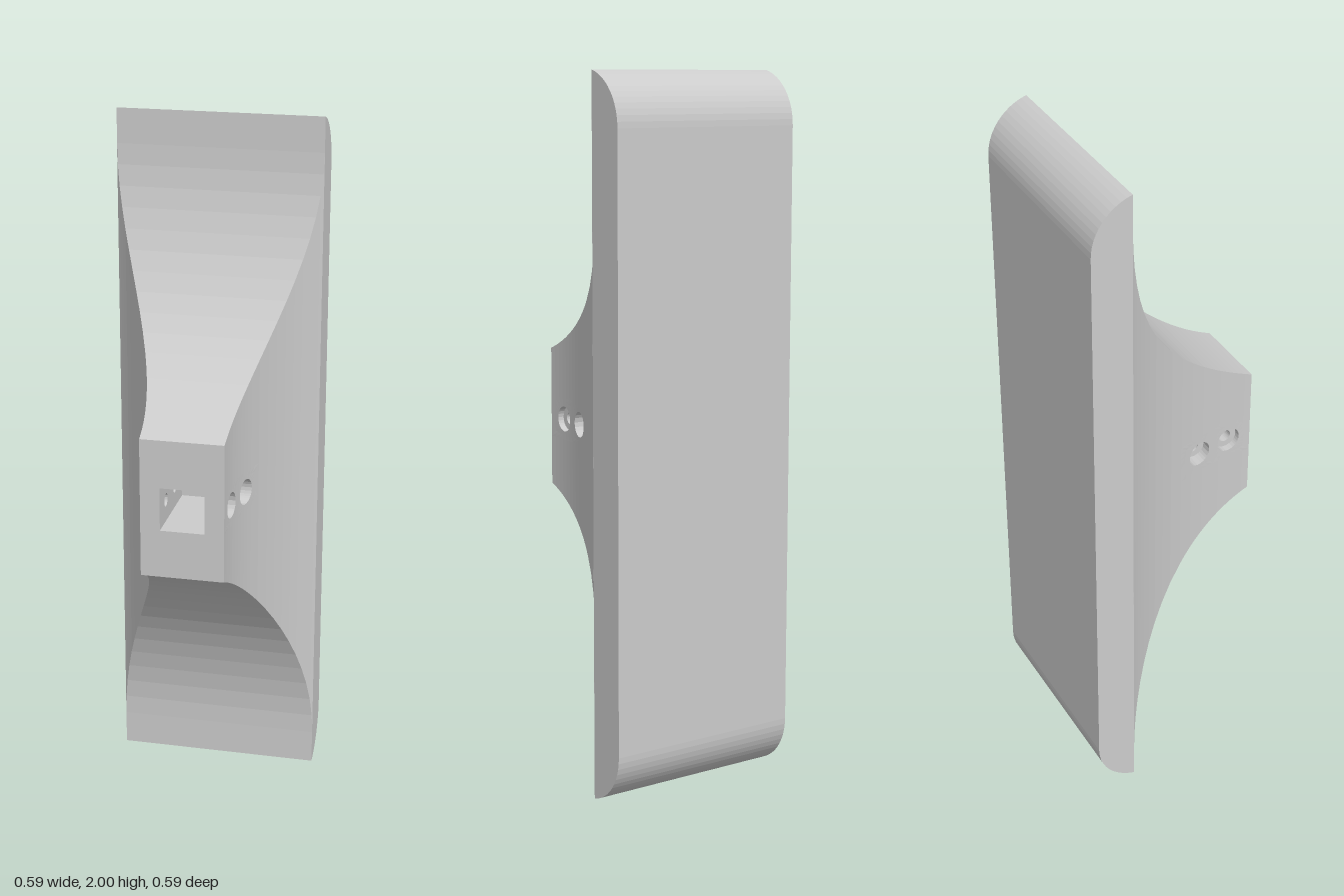
import * as THREE from 'three';

const material = new THREE.MeshStandardMaterial({ color: 0xcccccc, flatShading: true, side: THREE.DoubleSide });
const HALF = 0.295;                 // half width of the plate, and front of the neck
const JOINT = -0.178;               // plane where neck meets plate
const SOCKET = 0.0625, SOCKET_END = 0.03;
const HOLES = [0.117, 0.222];       // z of the bolt holes
const CELLS = [0.0445, 0.1695, HALF]; // z limits of the patch around each hole
const CELL_H = 0.06, BORE = 0.037, BOLT = 0.019, SEAT = 0.1, N = 6;

// Neck outline: half width and half height along z, both circular arcs
const R = 0.753, CZ = JOINT + R;
const halfWidth = z => 0.118 + 0.72 - Math.sqrt(0.72 ** 2 - (HALF - z) ** 2);
const halfHeight = z => 0.9 - Math.sqrt(Math.max(0, R * R - (CZ - z) ** 2));

const onSide = (z, y) => new THREE.Vector3(halfWidth(z), y, z);

// Surface through equal rows of points
function loft(rows) {
  const p = [];
  for (let i = 0; i + 1 < rows.length; i++) {
    for (let j = 0; j + 1 < rows[i].length; j++) {
      const a = rows[i][j], b = rows[i][j + 1], c = rows[i + 1][j + 1], d = rows[i + 1][j];
      for (const v of [a, b, c, a, c, d]) p.push(v.x, v.y, v.z);
    }
  }
  const g = new THREE.BufferGeometry();
  g.setAttribute('position', new THREE.Float32BufferAttribute(p, 3));
  g.computeVertexNormals();
  return g;
}

function add(parent, name, geometry) {
  const mesh = new THREE.Mesh(geometry, material);
  mesh.name = name;
  parent.add(mesh);
  return mesh;
}

// Side patch with a counterbored bolt hole, from a rectangle inward
function holePatch(z0, z1, zc) {
  const edge = [];
  for (let k = 0; k <= 4 * N; k++) {
    const side = Math.floor(k / N) % 4, t = (k % N) / N;
    const dz = z1 - z0, dy = 2 * CELL_H;
    edge.push([
      [z0 + dz * t, CELL_H], [z1, CELL_H - dy * t],
      [z1 - dz * t, -CELL_H], [z0, -CELL_H + dy * t],
    ][side]);
  }
  const circle = (r, x) => edge.map(([z, y]) => {
    const a = Math.atan2(y, z - zc), cz = zc + r * Math.cos(a);
    return new THREE.Vector3(x ?? halfWidth(cz), r * Math.sin(a), cz);
  });
  const outer = edge.map(([z, y]) => onSide(z, y));
  const rim = circle(BORE);
  const middle = outer.map((v, i) => onSide((v.z + rim[i].z) / 2, (v.y + rim[i].y) / 2));
  return loft([outer, middle, rim, circle(BORE, SEAT), circle(BOLT, SEAT), circle(BOLT, SOCKET)]);
}

export function createModel() {
  const model = new THREE.Group();

  // Back plate: side profile with rounded rear edges, extruded across x
  const r = 0.155, cz = -HALF + r, cy = 0.85;
  const a0 = Math.acos((JOINT - cz) / r);
  const arc = Array.from({ length: 13 }, (_, i) => {
    const a = a0 + (Math.PI - a0) * i / 12;
    return new THREE.Vector2(cz + r * Math.cos(a), cy + r * Math.sin(a));
  });
  const profile = [...arc, ...arc.map(p => new THREE.Vector2(p.x, -p.y)).reverse()];
  const plate = new THREE.ExtrudeGeometry(new THREE.Shape(profile), { depth: 2 * HALF, bevelEnabled: false });
  plate.rotateY(-Math.PI / 2).translate(HALF, 0, 0);
  add(model, 'backPlate', plate);

  // Stations along the neck: even by angle behind the holes, even by z around them
  const back = [], front = [];
  const aEnd = Math.acos((CZ - CELLS[0]) / R);
  for (let i = 0; i <= 10; i++) back.push(CZ - R * Math.cos(aEnd * i / 10));
  for (let c = 0; c < 2; c++) {
    for (let i = c; i <= N; i++) front.push(CELLS[c] + (CELLS[c + 1] - CELLS[c]) * i / N);
  }
  const stations = [...back, ...front.slice(1)];

  // Flared top and underside of the neck
  const top = loft(stations.map(z => [1, -1].map(s => new THREE.Vector3(s * halfWidth(z), halfHeight(z), z))));
  add(model, 'neckTop', top);
  add(model, 'neckUnderside', top).scale.y = -1;

  // Neck sides with bolt holes, mirrored left and right
  const backSide = loft(back.map(z => [-1, 1].map(s => onSide(z, s * halfHeight(z)))));
  const frontStrip = loft(front.map(z => [onSide(z, CELL_H), onSide(z, halfHeight(z))]));
  const wallShape = new THREE.Shape([[SOCKET_END, -SOCKET], [HALF, -SOCKET], [HALF, SOCKET], [SOCKET_END, SOCKET]]
    .map(p => new THREE.Vector2(...p)));
  for (const z of HOLES) wallShape.holes.push(new THREE.Path().absarc(z, 0, BOLT, 0, 2 * Math.PI, true));
  const wall = new THREE.ShapeGeometry(wallShape, 12).rotateY(-Math.PI / 2).translate(SOCKET, 0, 0);
  for (const s of [1, -1]) {
    const side = new THREE.Group();
    side.name = s > 0 ? 'leftSide' : 'rightSide';
    side.scale.x = s;
    add(side, 'flaredSide', backSide);
    add(side, 'sideAboveHoles', frontStrip);
    add(side, 'sideBelowHoles', frontStrip).scale.y = -1;
    HOLES.forEach((z, i) => add(side, 'boltHole', holePatch(CELLS[i], CELLS[i + 1], z)));
    add(side, 'socketWall', wall);
    model.add(side);
  }

  // Front face with the square socket opening
  const rect = (w, h) => [[-w, -h], [w, -h], [w, h], [-w, h]].map(p => new THREE.Vector2(...p));
  const face = new THREE.Shape(rect(halfWidth(HALF), halfHeight(HALF)));
  face.holes.push(new THREE.Path(rect(SOCKET, SOCKET).reverse()));
  add(model, 'frontFace', new THREE.ShapeGeometry(face).translate(0, 0, HALF));

  // Inside of the socket
  const depth = HALF - SOCKET_END, mid = (HALF + SOCKET_END) / 2;
  add(model, 'socketEnd', new THREE.PlaneGeometry(2 * SOCKET, 2 * SOCKET).translate(0, 0, SOCKET_END));
  for (const s of [1, -1]) {
    add(model, s > 0 ? 'socketCeiling' : 'socketFloor',
      new THREE.PlaneGeometry(2 * SOCKET, depth).rotateX(s * Math.PI / 2).translate(0, s * SOCKET, mid));
  }

  // Stand the whole piece on y = 0
  for (const part of model.children) part.position.y = 1;
  return model;
}
